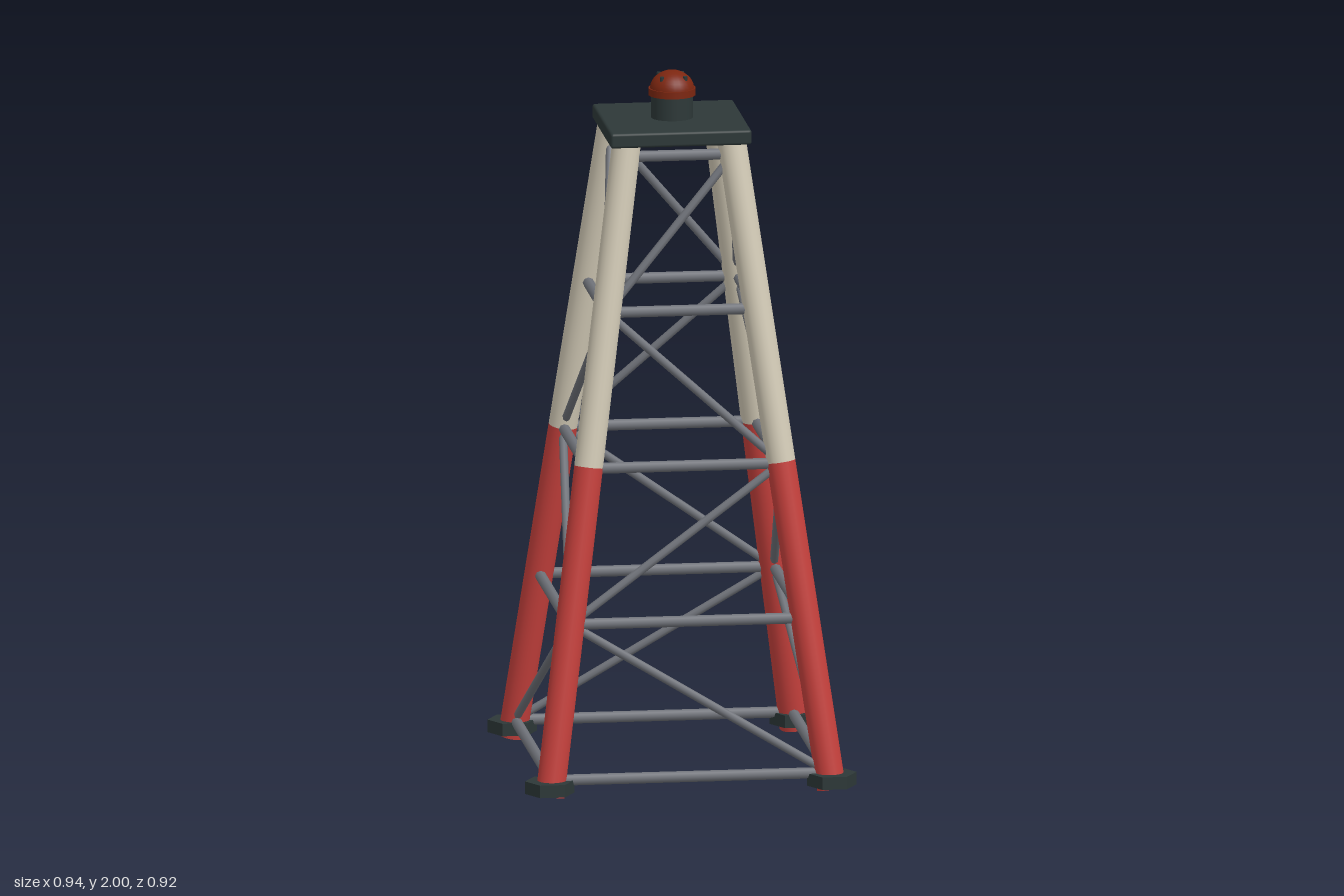
import * as THREE from 'three';
import { RoundedBoxGeometry } from 'three/addons/geometries/RoundedBoxGeometry.js';

const paint = (name, color) => {
  const m = new THREE.MeshStandardMaterial({ color });
  m.name = name;
  return m;
};

export function createModel() {
  const red = paint('red paint', 0xc5403c);
  const cream = paint('cream paint', 0xd2cab6);
  const steel = paint('grey steel', 0x70737a);
  const dark = paint('dark metal', 0x2d3838);
  const lens = paint('beacon lens', 0x7c2610);

  const tower = new THREE.Group();
  tower.name = 'latticeTower';

  const add = (name, geometry, material, x = 0, y = 0, z = 0) => {
    const mesh = new THREE.Mesh(geometry, material);
    mesh.name = name;
    mesh.position.set(x, y, z);
    tower.add(mesh);
    return mesh;
  };

  // Round bar between two points
  const up = new THREE.Vector3(0, 1, 0);
  const bar = (name, a, b, radius, sides, material) => {
    const dir = b.clone().sub(a);
    const mesh = add(name, new THREE.CylinderGeometry(radius, radius, dir.length(), sides), material);
    mesh.position.copy(a).add(b).multiplyScalar(0.5);
    mesh.quaternion.setFromUnitVectors(up, dir.normalize());
  };

  // Point on the axis of a leg at height y; the legs lean inwards
  const corners = [[1, 1], [1, -1], [-1, -1], [-1, 1]];
  const legPoint = (i, y) => {
    const [sx, sz] = corners[i % 4];
    const r = 0.4 - 0.1375 * y;
    return new THREE.Vector3(sx * r, y, sz * r);
  };

  // Two-tone legs with hexagonal feet
  for (let i = 0; i < 4; i++) {
    bar('lowerLeg', legPoint(i, 0.008), legPoint(i, 0.926), 0.041, 20, red);
    bar('upperLeg', legPoint(i, 0.926), legPoint(i, 1.835), 0.041, 20, cream);
    const foot = new THREE.CylinderGeometry(0.07, 0.07, 0.036, 6, 1, false, Math.PI / 2).toNonIndexed();
    foot.computeVertexNormals();
    add('foot', foot, dark, corners[i][0] * 0.4, 0.036, corners[i][1] * 0.4);
  }

  // Horizontal rings and one zigzag brace on each face
  const ringY = (k) => 0.053 + 0.434 * k;
  for (let k = 0; k < 5; k++) {
    for (let i = 0; i < 4; i++) {
      bar('crossbar', legPoint(i, ringY(k)), legPoint(i + 1, ringY(k)), 0.016, 8, steel);
      if (k === 4) continue;
      // Even rings meet at corners 0 and 2, odd rings at corners 1 and 3
      const lowFirst = (i + k) % 2 === 0;
      const low = lowFirst ? i : i + 1;
      const high = lowFirst ? i + 1 : i;
      bar('diagonalBrace', legPoint(low, ringY(k)), legPoint(high, ringY(k + 1)), 0.012, 8, steel);
    }
  }

  // Platform
  add('platform', new RoundedBoxGeometry(0.4, 0.043, 0.4, 2, 0.008), dark, 0, 1.844, 0);

  // Beacon with a collar, a domed lens and four bolts
  add('beaconBase', new THREE.CylinderGeometry(0.06, 0.06, 0.07, 24), dark, 0, 1.898, 0);
  add('beaconCollar', new THREE.CylinderGeometry(0.067, 0.067, 0.02, 24), lens, 0, 1.94, 0);
  const dome = new THREE.SphereGeometry(0.063, 24, 10, 0, Math.PI * 2, 0, Math.PI / 2);
  dome.scale(1, 0.055 / 0.063, 1);
  add('beaconLens', dome, lens, 0, 1.945, 0);
  for (const [sx, sz] of corners) {
    add('beaconBolt', new THREE.CylinderGeometry(0.006, 0.006, 0.04, 8), dark, sx * 0.033, 1.968, sz * 0.033);
  }

  return tower;
}
